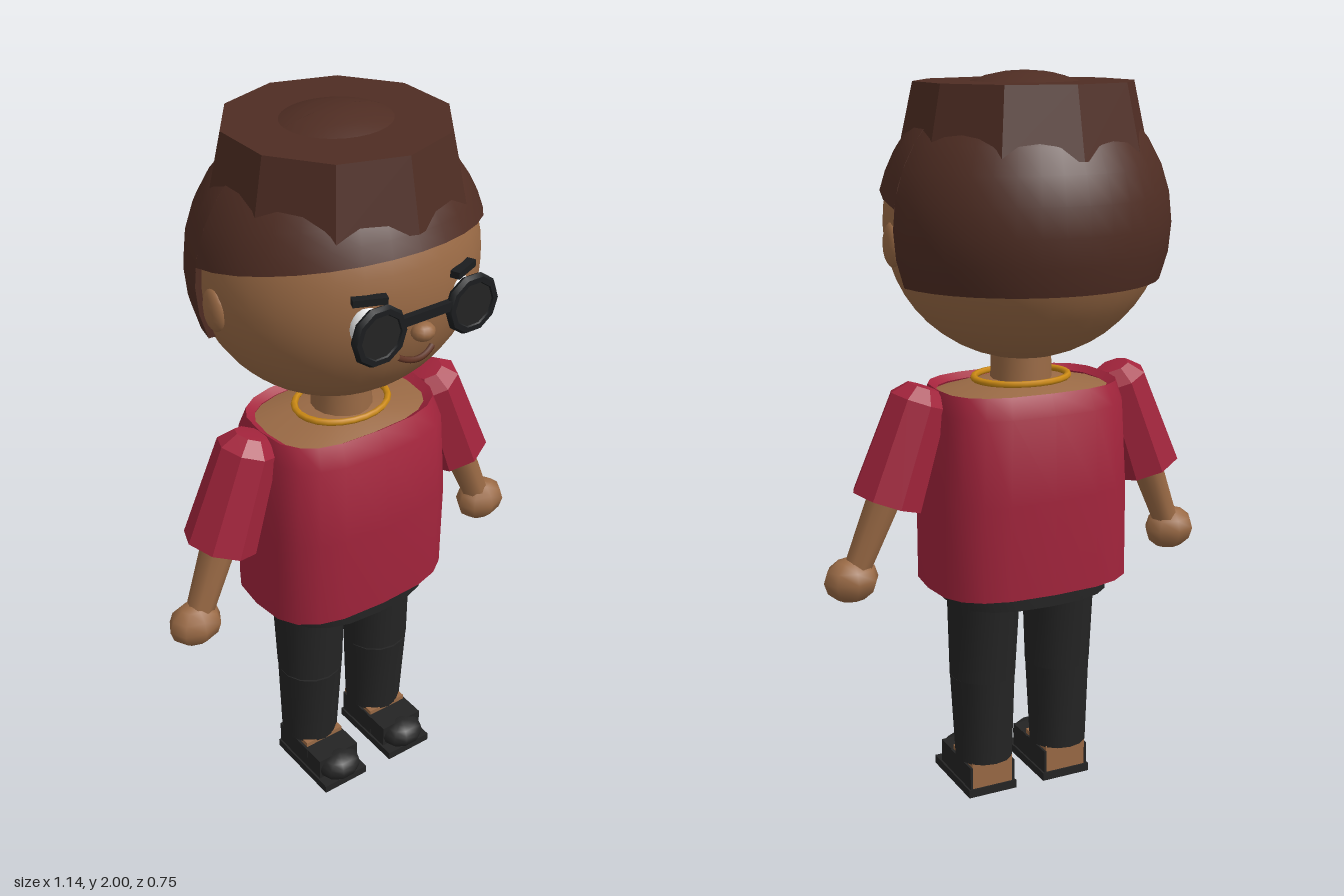
import * as THREE from 'three';
import { toCreasedNormals } from 'three/addons/utils/BufferGeometryUtils.js';

function mat(name, color, side = THREE.FrontSide) {
  const m = new THREE.MeshStandardMaterial({ color, side });
  m.name = name;
  return m;
}

// Surface from a grid of points: p(i, j) -> [x, y, z], i around, j downwards
function grid(cols, rows, p, crease = 0.6) {
  const pos = [], idx = [];
  for (let i = 0; i <= cols; i++) for (let j = 0; j <= rows; j++) pos.push(...p(i, j));
  for (let i = 0; i < cols; i++) for (let j = 0; j < rows; j++) {
    const a = i * (rows + 1) + j, b = a + rows + 1;
    idx.push(a, b, a + 1, b, b + 1, a + 1);
  }
  const g = new THREE.BufferGeometry();
  g.setAttribute('position', new THREE.Float32BufferAttribute(pos, 3));
  g.setIndex(idx);
  return toCreasedNormals(g, crease);
}

// Loft through rounded-rectangle sections [y, rx, rz, cz], listed top to bottom
function loft(sections, power = 0.75, cols = 20) {
  const r = (v) => Math.sign(v) * Math.pow(Math.abs(v), power);
  return grid(cols, sections.length - 1, (i, j) => {
    const [y, rx, rz, cz] = sections[j], a = (i / cols) * Math.PI * 2;
    return [rx * r(Math.cos(a)), y, cz + rz * r(Math.sin(a))];
  });
}

export function createModel() {
  const root = new THREE.Group();
  root.name = 'figure';
  const skin = mat('skin', 0x9a6a45);
  const hair = mat('hair', 0x4f2d23, THREE.DoubleSide);
  const red = mat('shirt red', 0xa3243c, THREE.DoubleSide);
  const black = mat('trouser black', 0x242424);
  const frame = mat('glasses black', 0x1b1d1f);
  const white = mat('eye white', 0xf0f0f0);
  const gold = mat('gold', 0xcc8a14);
  const lip = mat('mouth brown', 0x5f3222);

  function add(name, geo, m, x = 0, y = 0, z = 0) {
    const mesh = new THREE.Mesh(geo, m);
    mesh.name = name;
    mesh.position.set(x, y, z);
    root.add(mesh);
    return mesh;
  }
  function ball(name, m, c, r, w = 20, h = 14) {
    return add(name, new THREE.SphereGeometry(1, w, h).scale(...r), m, ...c);
  }
  // Tapered rod between two points
  function rod(name, m, a, b, ra, rb, n = 10) {
    const A = new THREE.Vector3(...a), B = new THREE.Vector3(...b), d = B.clone().sub(A);
    const geo = toCreasedNormals(new THREE.CylinderGeometry(rb, ra, d.length(), n), 0.9);
    const mesh = add(name, geo, m, ...A.clone().add(B).multiplyScalar(0.5).toArray());
    mesh.quaternion.setFromUnitVectors(new THREE.Vector3(0, 1, 0), d.normalize());
    return mesh;
  }

  // Head, neck and face
  ball('head', skin, [0, 1.615, -0.01], [0.375, 0.36, 0.345], 32, 24);
  rod('neck', skin, [0, 1.15, 0.012], [0, 1.3, 0.012], 0.085, 0.08, 16);
  ball('nose', skin, [0, 1.55, 0.343], [0.032, 0.024, 0.028], 12, 8);
  const smile = new THREE.QuadraticBezierCurve3(
    new THREE.Vector3(-0.052, 1.483, 0.316),
    new THREE.Vector3(0, 1.452, 0.336),
    new THREE.Vector3(0.052, 1.483, 0.316));
  add('mouth', new THREE.TubeGeometry(smile, 10, 0.008, 6), lip);

  // Hair: cut low behind the ears, along a sloping line in front
  const step = 0.12, front = 16, back = 18, rows = 11;
  const hairGeo = grid(front + back + 2, rows, (i, j) => {
    const isFront = i <= front, k = i - front - 1;
    const a = isFront
      ? -step + (i / front) * (Math.PI + 2 * step)
      : k <= back
        ? Math.PI + step + (k / back) * (Math.PI - 2 * step)
        : Math.PI * 2 - step;
    let low = 1.47;
    if (isFront || k > back) {
      low = 1.7;
      for (let n = 0; n < 8; n++) {
        const s = Math.sqrt(1 - ((low - 1.615) / 0.385) ** 2);
        low = 1.755 - 0.22 * (0.335 + 0.01 - 0.365 * s * Math.sin(a));
      }
    }
    const t = Math.acos((low - 1.615) / 0.385) * Math.min(j / (rows - 1), 1);
    const s = Math.sin(t) * (j === rows ? 0.9 : 1);
    return [0.39 * s * Math.cos(a), 1.615 + 0.385 * Math.cos(t), -0.01 + 0.365 * s * Math.sin(a)];
  }, 0.7);
  add('hair', hairGeo, hair);
  const crown = new THREE.CylinderGeometry(0.287, 0.327, 0.18, 10);
  add('hairCrown', toCreasedNormals(crown, 0.4), hair, 0, 1.883, -0.008);

  // Torso, shirt and waistband
  add('torso', loft([
    [1.2, 0, 0, 0.01], [1.195, 0.09, 0.08, 0.01], [1.165, 0.238, 0.16, 0.005],
    [0.9, 0.23, 0.165, 0.01], [0.605, 0.22, 0.165, 0.013], [0.605, 0, 0, 0.013],
  ]), skin);
  add('shirt', loft([
    [1.17, 0.23, 0.155, 0.005], [1.185, 0.252, 0.175, 0.005], [1.13, 0.268, 0.203, 0.008],
    [0.9, 0.282, 0.212, 0.01], [0.635, 0.285, 0.205, 0.007],
  ], 0.68), red);
  add('waistband', loft([
    [0.65, 0.22, 0.17, 0.013], [0.65, 0.235, 0.183, 0.013],
    [0.592, 0.235, 0.183, 0.013], [0.592, 0.2, 0.15, 0.013],
  ]), black);
  const chain = new THREE.TorusGeometry(0.12, 0.009, 6, 24).rotateX(Math.PI / 2).scale(1.1, 1, 0.9);
  add('necklace', chain, gold, 0, 1.197, 0.012);

  // Glasses bridge
  add('glassesBridge', new THREE.BoxGeometry(0.15, 0.024, 0.018), frame, 0, 1.603, 0.353);

  for (const s of [1, -1]) {
    const side = s > 0 ? 'left' : 'right';

    // Ear, eye, brow and lens
    ball(side + 'Ear', skin, [s * 0.368, 1.575, 0], [0.022, 0.058, 0.042], 12, 10);
    ball(side + 'Eye', white, [s * 0.14, 1.59, 0.305], [0.042, 0.052, 0.022], 14, 10).rotation.y = s * 0.42;
    const brow = add(side + 'Brow', new THREE.BoxGeometry(0.085, 0.018, 0.025), frame, s * 0.14, 1.664, 0.315);
    brow.rotation.y = s * 0.4;
    const rim = new THREE.TorusGeometry(0.066, 0.014, 6, 10);
    add(side + 'LensRim', toCreasedNormals(rim, 0.6), frame, s * 0.139, 1.587, 0.353);
    const lens = new THREE.CylinderGeometry(0.06, 0.06, 0.012, 10).rotateX(Math.PI / 2);
    add(side + 'Lens', toCreasedNormals(lens, 0.5), black, s * 0.139, 1.587, 0.355);

    // Sleeve, arm and hand
    const profile = [[0.075, 0.02], [0.1, 0], [0.082, 0.28], [0.045, 0.318], [0, 0.322]]
      .map((p) => new THREE.Vector2(...p));
    const sleeve = toCreasedNormals(new THREE.LatheGeometry(profile, 8), 0.5);
    add(side + 'Sleeve', sleeve, red, s * 0.395, 0.897, 0.013).rotation.z = s * 0.35;
    rod(side + 'Arm', skin, [s * 0.485, 0.7, 0.03], [s * 0.365, 0.99, 0.015], 0.037, 0.052, 8);
    ball(side + 'Hand', skin, [s * 0.495, 0.685, 0.032], [0.077, 0.062, 0.06], 8, 6);

    // Trouser leg in two parts
    rod(side + 'Thigh', black, [s * 0.118, 0.352, 0.02], [s * 0.116, 0.61, 0.013], 0.094, 0.104, 14);
    rod(side + 'Shin', black, [s * 0.118, 0.1, 0.014], [s * 0.118, 0.35, 0.02], 0.082, 0.093, 14);

    // Open-backed shoe
    const fx = s * 0.117;
    add(side + 'Foot', new THREE.BoxGeometry(0.125, 0.09, 0.13), skin, fx, 0.06, 0.025);
    add(side + 'Sole', new THREE.BoxGeometry(0.147, 0.024, 0.245), black, fx, 0.012, 0.078);
    add(side + 'ShoeUpper', new THREE.BoxGeometry(0.136, 0.07, 0.125), black, fx, 0.056, 0.1);
    for (const e of [1, -1]) {
      add(side + 'ShoeSide', new THREE.BoxGeometry(0.007, 0.068, 0.14), black, fx + e * 0.065, 0.056, 0.028);
    }
    ball(side + 'Toe', black, [fx, 0.052, 0.165], [0.066, 0.042, 0.055], 10, 8);
  }
  return root;
}
